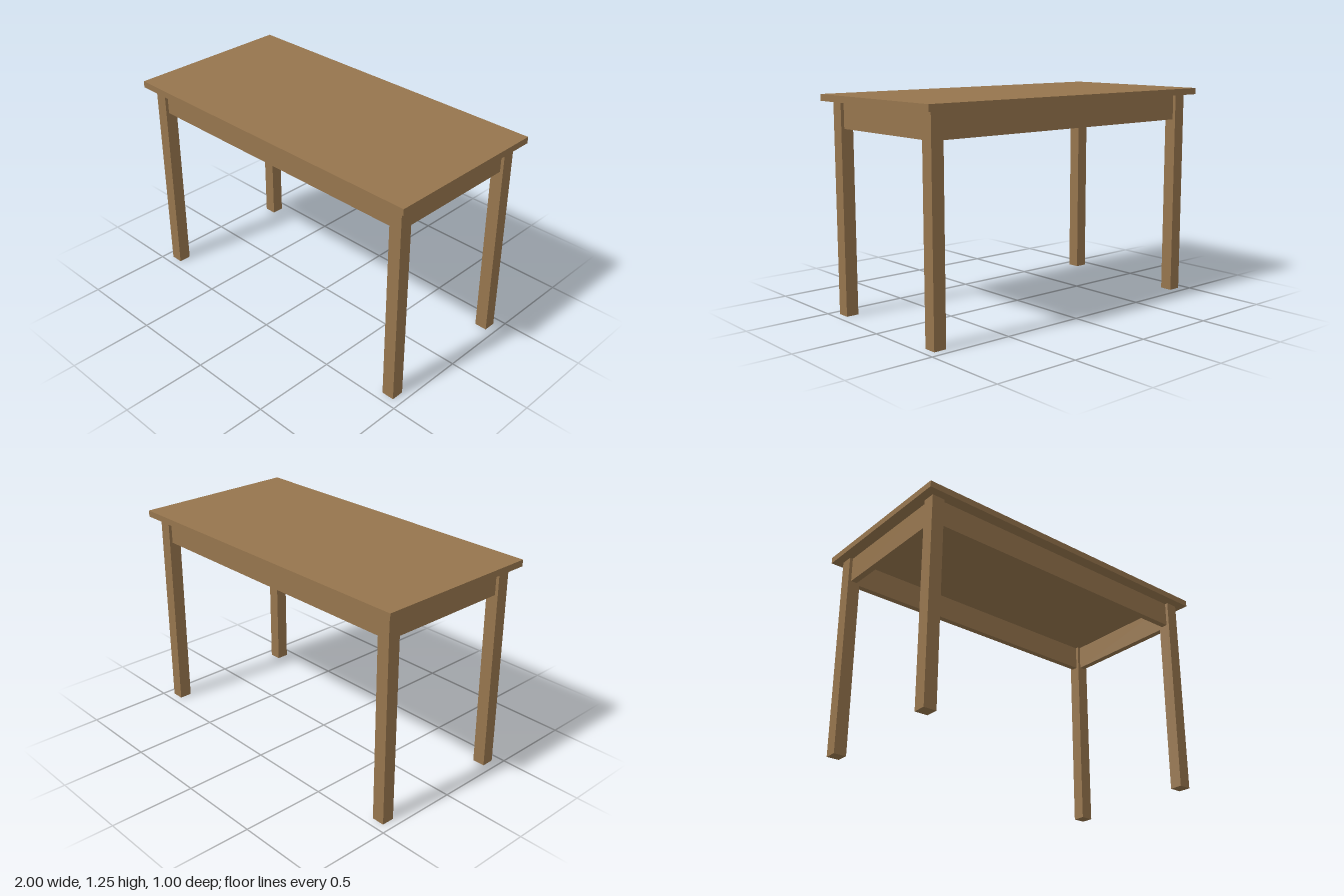
import * as THREE from 'three';

export function createModel() {
  const table = new THREE.Group();
  table.name = 'table';
  const wood = new THREE.MeshStandardMaterial({ color: 0x96754d });
  wood.name = 'brown wood';

  const HEIGHT = 1.25, TOP = 0.0375, LEG = 0.075;
  const UNDER = HEIGHT - TOP; // underside of the table top
  const LEG_X = 0.9125, LEG_Z = 0.4125; // leg centres
  const APRON_H = 0.15, APRON_T = 0.0375;

  function board(name, w, h, d, x, y, z) {
    const mesh = new THREE.Mesh(new THREE.BoxGeometry(w, h, d), wood);
    mesh.name = name;
    mesh.position.set(x, y, z);
    table.add(mesh);
  }

  // Overhanging top
  board('tableTop', 2, TOP, 1, 0, HEIGHT - TOP / 2, 0);

  // Four square legs
  for (const x of [-1, 1]) {
    for (const z of [-1, 1]) {
      const name = (z > 0 ? 'front' : 'back') + (x > 0 ? 'Left' : 'Right') + 'Leg';
      board(name, LEG, UNDER, LEG, x * LEG_X, UNDER / 2, z * LEG_Z);
    }
  }

  // Aprons between the legs, centred on the leg thickness
  const apronY = UNDER - APRON_H / 2;
  for (const s of [-1, 1]) {
    board(s > 0 ? 'frontApron' : 'backApron',
      2 * LEG_X - LEG, APRON_H, APRON_T, 0, apronY, s * LEG_Z);
    board(s > 0 ? 'leftApron' : 'rightApron',
      APRON_T, APRON_H, 2 * LEG_Z - LEG, s * LEG_X, apronY, 0);
  }

  return table;
}
